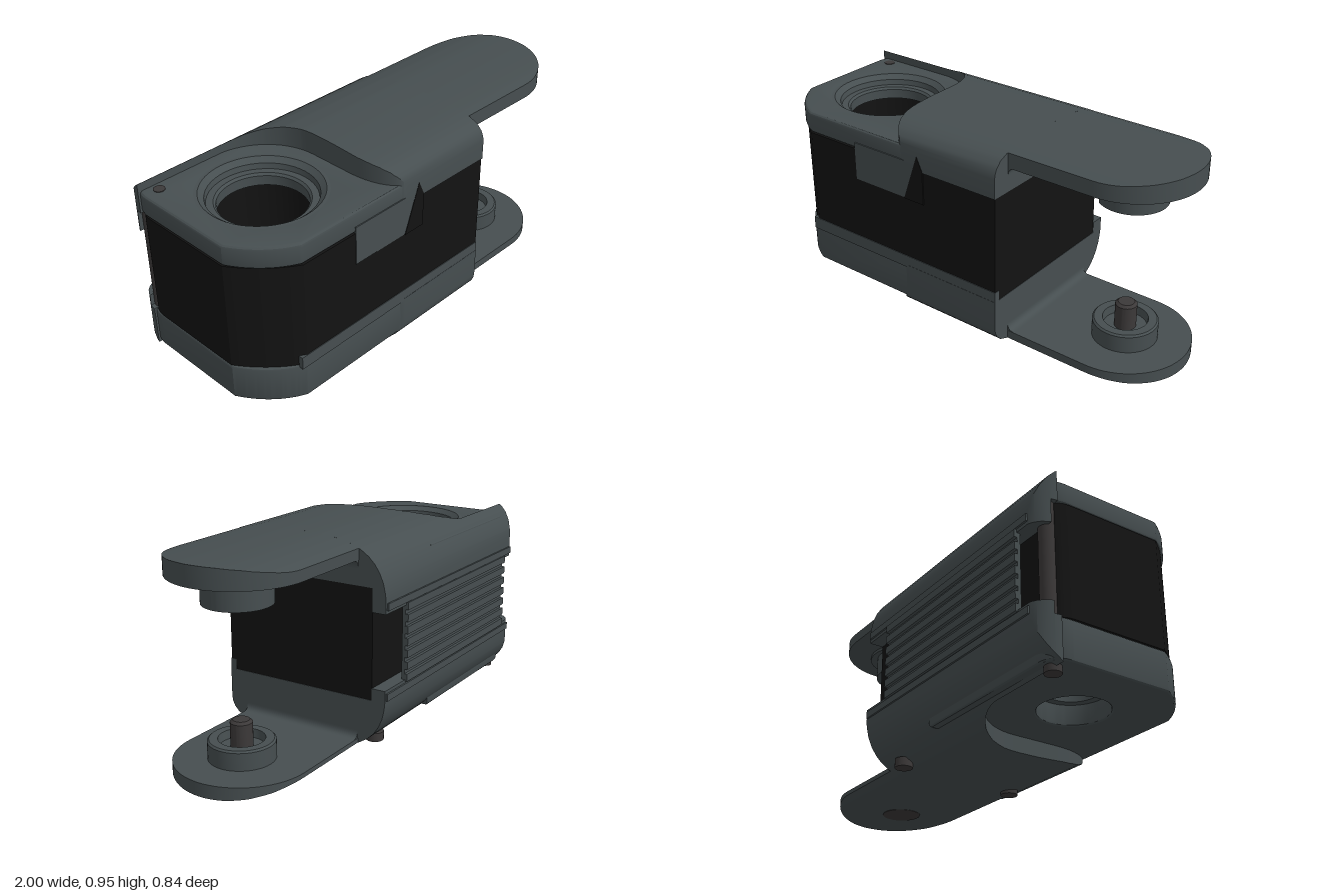
import * as THREE from 'three';
import { toCreasedNormals } from 'three/addons/utils/BufferGeometryUtils.js';

const GREY = new THREE.MeshStandardMaterial({ color: 0x464e50, side: THREE.DoubleSide });
const BLACK = new THREE.MeshStandardMaterial({ color: 0x131313, side: THREE.DoubleSide });
const STEEL = new THREE.MeshStandardMaterial({ color: 0x3c3939 });
const SOCKET = { x: -0.64, z: 0.03 };
const PIVOT = { x: 0.71, z: 0.035 };

function add(parent, name, geometry, material = GREY, x = 0, y = 0, z = 0) {
  const mesh = new THREE.Mesh(geometry, material);
  mesh.name = name;
  mesh.position.set(x, y, z);
  parent.add(mesh);
  return mesh;
}

// box given by its limits
function slab(parent, name, [x0, x1], [y0, y1], [z0, z1], material) {
  return add(parent, name, new THREE.BoxGeometry(x1 - x0, y1 - y0, z1 - z0), material,
    (x0 + x1) / 2, (y0 + y1) / 2, (z0 + z1) / 2);
}

// crown height of the shell across z
const CROWN = [[-0.405, 0.71], [-0.4, 0.74], [-0.392, 0.775], [-0.375, 0.815], [-0.35, 0.852], [-0.32, 0.881],
  [-0.28, 0.907], [-0.23, 0.926], [-0.16, 0.941], [-0.08, 0.949], [0, 0.951], [0.1, 0.95], [0.2, 0.945],
  [0.28, 0.938], [0.34, 0.927], [0.38, 0.91], [0.405, 0.885], [0.416, 0.862], [0.42, 0.84]];
function crown(z) {
  const i = Math.max(1, CROWN.findIndex((p) => p[0] >= z));
  const [a, b] = [CROWN[i - 1], CROWN[i]];
  return THREE.MathUtils.lerp(a[1], b[1], (z - a[0]) / (b[0] - a[0]));
}

// rectangular sections [z, x0, x1, y0, y1] joined along z
function loft(sections) {
  const pos = [], index = [];
  for (const [z, x0, x1, y0, y1] of sections) pos.push(x0, y0, z, x1, y0, z, x1, y1, z, x0, y1, z);
  const n = sections.length;
  for (let i = 0; i < n - 1; i++) {
    for (let k = 0; k < 4; k++) {
      const a = i * 4 + k, b = i * 4 + (k + 1) % 4;
      index.push(a, b, b + 4, a, b + 4, a + 4);
    }
  }
  const e = (n - 1) * 4;
  index.push(0, 2, 1, 0, 3, 2, e, e + 1, e + 2, e, e + 2, e + 3);
  const g = new THREE.BufferGeometry();
  g.setAttribute('position', new THREE.Float32BufferAttribute(pos, 3));
  g.setIndex(index);
  return toCreasedNormals(g, 0.6);
}

// joint-end outline with rounded back corner and cut front corner, extruded upwards
function planBlock(xRight, zBack, zFront, y0, y1, holeRadius, bevel = 0) {
  const s = new THREE.Shape();
  const b = bevel;
  s.moveTo(xRight, -zFront + b);
  s.lineTo(xRight, -zBack - b);
  s.lineTo(-0.9, -zBack - b);
  s.quadraticCurveTo(-1 + b, -zBack - b, -1 + b, -zBack - 0.1);
  s.lineTo(-1 + b, -0.2);
  s.quadraticCurveTo(-0.91, -0.34, -0.78, -zFront + b);
  const hole = new THREE.Path();
  hole.absarc(SOCKET.x, -SOCKET.z, holeRadius + b, 0, Math.PI * 2, true);
  s.holes.push(hole);
  const g = new THREE.ExtrudeGeometry(s, { depth: y1 - y0 - 2 * b, curveSegments: 32,
    bevelEnabled: b > 0, bevelSize: b, bevelThickness: b, bevelSegments: 3 });
  g.rotateX(-Math.PI / 2);
  g.translate(0, y0 + b, 0);
  return toCreasedNormals(g, 0.5);
}

function lathe(points) {
  const g = new THREE.LatheGeometry(points.map(([r, y]) => new THREE.Vector2(r, y)), 48);
  return toCreasedNormals(g, 0.5);
}

// left edge of the raised shell: back strip, arc around the socket, front sweep
function shellEdge(z) {
  if (z < -0.31) return -0.9 - Math.sqrt(Math.max(0, 0.01 - (z + 0.31) ** 2));
  if (z < -0.02) return -0.6 + Math.sqrt(Math.max(0, 0.0841 - (z + 0.02) ** 2));
  if (z < 0.2) return -0.31;
  return -0.2 - 0.11 * Math.sqrt(Math.max(0, 1 - ((z - 0.2) / 0.22) ** 2));
}

function halfShell(name, seam, armUnderside, padHeight, padHole) {
  const half = new THREE.Group();
  half.name = name;
  // raised shell with a thin skirt at the back
  const zs = CROWN.map((p) => p[0]);
  for (let i = 1; i < 15; i++) zs.push(-0.31 + 0.29 * (1 - Math.cos((i / 14) * Math.PI / 2)));
  zs.push(-0.3101, -0.3399, -0.3401, 0.24, 0.31, 0.36, 0.395);
  zs.sort((a, b) => a - b);
  add(half, 'shellBody', loft(zs.map((z) =>
    [z, shellEdge(z), 0.29, z < -0.34 ? 0.645 : seam, crown(z)])));
  // round-ended arm
  const arm = [];
  for (let i = 0; i <= 40; i++) {
    const t = -Math.PI / 2 + (i / 40) * Math.PI;
    const z = 0.03 + 0.302 * Math.sin(t);
    arm.push([z, 0.2, 0.698 + 0.302 * Math.cos(t), armUnderside, crown(z)]);
  }
  add(half, 'arm', loft(arm));
  // small fillet where the arm meets the body
  const f = new THREE.Shape();
  f.moveTo(0.285, armUnderside + 0.005);
  f.lineTo(0.325, armUnderside + 0.005);
  f.lineTo(0.325, armUnderside);
  f.quadraticCurveTo(0.29, armUnderside, 0.29, armUnderside - 0.035);
  f.lineTo(0.285, armUnderside - 0.035);
  const fillet = new THREE.ExtrudeGeometry(f, { depth: 0.6, bevelEnabled: false });
  add(half, 'armFillet', fillet, GREY, 0, 0, -0.27);
  // recessed joint pad
  add(half, 'jointPad', planBlock(-0.19, -0.36, 0.414, seam, padHeight, padHole, 0.015));
  // rail along the back skirt
  slab(half, 'backRail', [-0.93, 0.28], [0.66, 0.692], [-0.413, -0.385]);
  return half;
}

export function createModel() {
  const model = new THREE.Group();
  model.name = 'linkModule';

  const upper = halfShell('upperShell', 0.75, 0.86, 0.85, 0.255);
  const lower = halfShell('lowerShell', 0.7, 0.89, 0.877, 0.15);
  lower.scale.y = -1;
  lower.position.y = 0.952;
  model.add(upper, lower);

  // dark core, open through the socket
  add(model, 'core', planBlock(0.288, -0.34, 0.416, 0.252, 0.75, 0.22), BLACK);
  slab(model, 'frontLip', [-0.81, 0.29], [0.24, 0.3], [0.39, 0.419]);

  // stepped socket rim and floor ledge
  add(model, 'socketRim', lathe([[0.275, 0.851], [0.26, 0.851], [0.235, 0.83], [0.23, 0.805],
    [0.2, 0.805], [0.19, 0.795], [0.19, 0.75], [0.225, 0.75]]), GREY, SOCKET.x, 0, SOCKET.z);
  add(model, 'socketLedge', lathe([[0.225, 0.254], [0.185, 0.254], [0.18, 0.262], [0.15, 0.262],
    [0.145, 0.25], [0.115, 0.25], [0.115, 0.17], [0.155, 0.17]]), GREY, SOCKET.x, 0, SOCKET.z);

  // front tab and its dark wedge
  const panel = (name, pts, depth, material) => {
    const shape = new THREE.Shape(pts.map(([x, y]) => new THREE.Vector2(x, y)));
    add(model, name, new THREE.ExtrudeGeometry(shape, { depth, bevelEnabled: false }), material, 0, 0, 0.36);
  };
  panel('frontTab', [[-0.5, 0.6], [-0.21, 0.6], [-0.14, 0.78], [-0.5, 0.78]], 0.059, GREY);
  panel('frontWedge', [[-0.21, 0.597], [-0.1, 0.597], [-0.1, 0.755], [-0.13, 0.82]], 0.0615, BLACK);

  // ribbed back plate
  slab(model, 'backPlate', [-0.86, 0.12], [0.28, 0.67], [-0.402, -0.388]);
  for (let i = 0; i < 7; i++) {
    const y = 0.3 + i * 0.054;
    slab(model, 'backRib', [-0.86, 0.12], [y, y + 0.034], [-0.416, -0.395]);
  }

  // upper hub: flange and ring with its inner side cut flat
  add(model, 'upperFlange', new THREE.CylinderGeometry(0.175, 0.175, 0.02, 48), GREY, 0.73, 0.855, PIVOT.z);
  const cut = Math.acos(-0.6);
  const ring = new THREE.Shape();
  ring.absarc(0, 0, 0.15, -cut, cut, false);
  ring.lineTo(-0.05, 0.093 * 0.9);
  ring.absarc(0, 0, 0.1, Math.PI * 0.66, -Math.PI * 0.66, true);
  const ringGeo = new THREE.ExtrudeGeometry(ring, { depth: 0.125, bevelEnabled: false, curveSegments: 40 });
  ringGeo.rotateX(-Math.PI / 2);
  add(model, 'upperHub', toCreasedNormals(ringGeo, 0.5), GREY, PIVOT.x, 0.735, PIVOT.z);

  // lower hub with pivot pin
  add(model, 'lowerHub', lathe([[0.145, 0.05], [0.145, 0.14], [0.137, 0.148], [0.1, 0.148], [0.095, 0.11],
    [0, 0.11]]), GREY, PIVOT.x, 0, PIVOT.z);
  add(model, 'pivotPin', lathe([[0, 0.1], [0.048, 0.1], [0.048, 0.22], [0.036, 0.231], [0, 0.231]]),
    STEEL, PIVOT.x, 0, PIVOT.z);
  add(model, 'pinHead', new THREE.CylinderGeometry(0.09, 0.09, 0.01, 32), STEEL, PIVOT.x, 0.005, PIVOT.z);

  // underside screws and the corner pin
  for (const [x, z, y] of [[0.16, -0.28, 0.035], [0.16, 0.29, 0.018]]) {
    add(model, 'screw', new THREE.CylinderGeometry(0.04, 0.04, 0.04, 24), STEEL, x, y, z);
  }
  add(model, 'cornerScrew', new THREE.CylinderGeometry(0.035, 0.035, 0.08, 24), STEEL, -0.925, 0.086, -0.3);
  add(model, 'cornerPin', new THREE.CylinderGeometry(0.035, 0.035, 0.5, 24), STEEL, -0.945, 0.5, -0.325);
  add(model, 'topPin', new THREE.CylinderGeometry(0.025, 0.025, 0.02, 24), STEEL, -0.925, 0.843, -0.27);

  return model;
}
